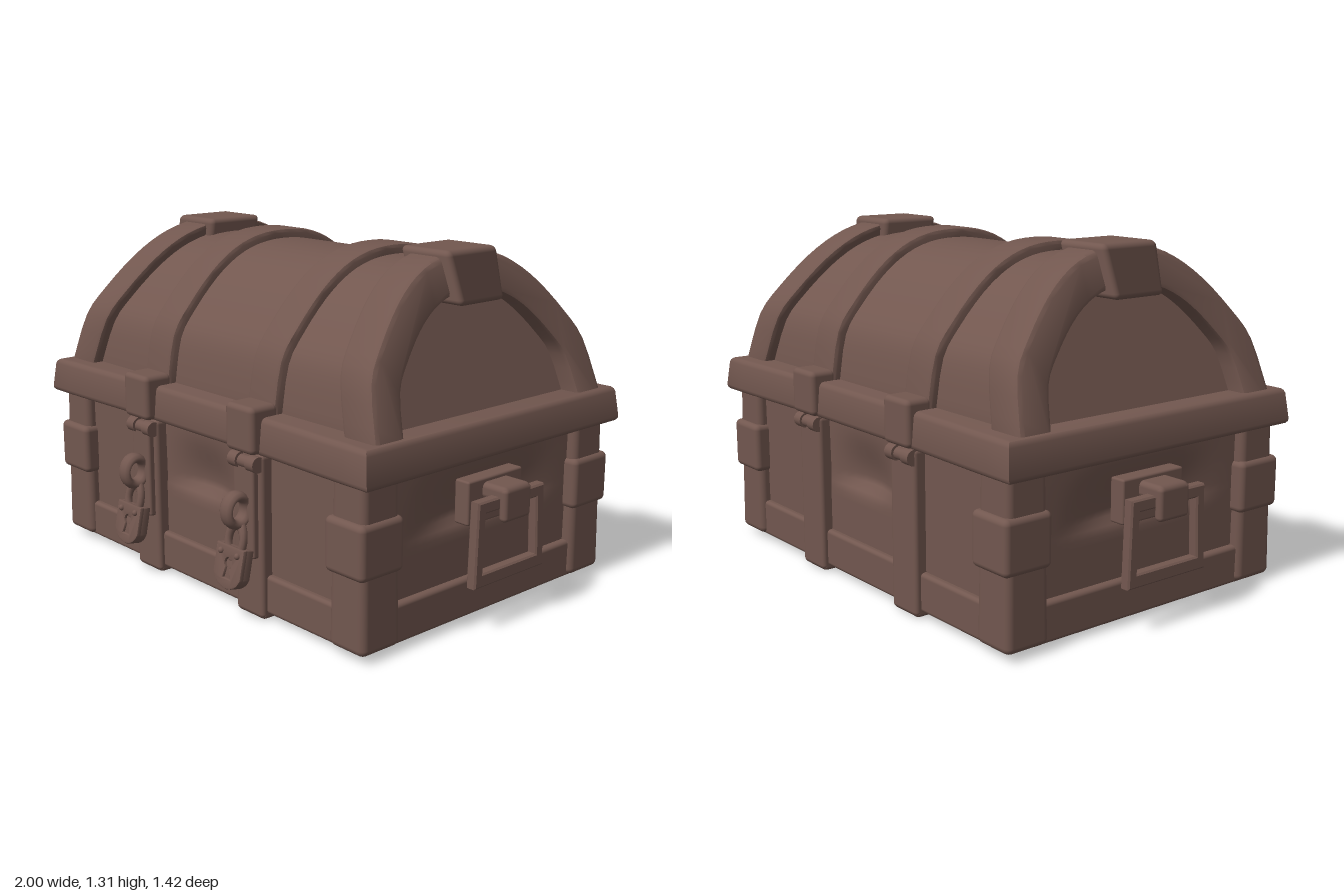
import * as THREE from 'three';
import { toCreasedNormals } from 'three/addons/utils/BufferGeometryUtils.js';
import { RoundedBoxGeometry } from 'three/addons/geometries/RoundedBoxGeometry.js';

const LEAN = 0.31, BASE = 0.74;

export function createModel() {
  const brown = new THREE.MeshStandardMaterial({ color: 0x72574f });
  brown.name = 'dark brown';
  const root = new THREE.Group();
  root.name = 'treasureChest';
  const chest = new THREE.Group();
  chest.name = 'chest';
  chest.position.z = -0.045;
  root.add(chest);

  const add = (parent, name, geo, x = 0, y = 0, z = 0) => {
    const m = new THREE.Mesh(geo, brown);
    m.name = name;
    m.position.set(x, y, z);
    parent.add(m);
    return m;
  };
  const group = (parent, name) => {
    const g = new THREE.Group();
    g.name = name;
    parent.add(g);
    return g;
  };
  // Rounded box given by its lower and upper bounds
  const block = (parent, name, [x0, x1], [y0, y1], [z0, z1], r = 0.015) =>
    add(parent, name, new RoundedBoxGeometry(x1 - x0, y1 - y0, z1 - z0, 2, r),
      (x0 + x1) / 2, (y0 + y1) / 2, (z0 + z1) / 2);
  const reshape = (geo, rule) => {
    const p = geo.attributes.position, v = new THREE.Vector3();
    for (let i = 0; i < p.count; i++) {
      rule(v.fromBufferAttribute(p, i));
      p.setXYZ(i, v.x, v.y, v.z);
    }
    return geo;
  };

  // Lid arch outline, moved inwards by o
  const half = [[0.59, 0.74], [0.555, 0.93], [0.48, 1.04], [0.365, 1.16], [0.25, 1.24], [0.13, 1.283]];
  const profile = [...half, [0, 1.295], ...half.map(([u, y]) => [-u, y]).reverse()];
  const archPoints = o => {
    const pts = profile.map(([u, y]) => new THREE.Vector2(
      u * (0.59 - o) / 0.59, BASE + (y - BASE) * (0.555 - o) / 0.555));
    const curve = new THREE.SplineCurve(pts).getPoints(36);
    return [new THREE.Vector2(pts[0].x, 0.69), ...curve, new THREE.Vector2(-pts[0].x, 0.69)];
  };
  // Extrudes an outline along x, centred on x = 0
  const alongX = (pts, width, bevel) => {
    const geo = new THREE.ExtrudeGeometry(new THREE.Shape(pts), {
      depth: width - 2 * bevel, bevelEnabled: bevel > 0, bevelSize: bevel,
      bevelThickness: bevel, bevelOffset: -bevel, bevelSegments: 2,
    });
    return geo.translate(0, 0, -(width - 2 * bevel) / 2).rotateY(Math.PI / 2);
  };
  const archBand = (outer, inner, width, bevel) =>
    alongX([...archPoints(outer), ...archPoints(inner).reverse()], width, bevel);

  // Box body with the upper plank of each wall pressed in along its middle
  const body = new THREE.BoxGeometry(1.69, 0.58, 1.19, 32, 22, 24).translate(0, 0.335, 0);
  const ss = THREE.MathUtils.smoothstep;
  reshape(body, v => {
    const press = 0.045 * ss(v.y, 0.35, 0.39) * (1 - ss(v.y, 0.4, 0.61));
    if (Math.abs(v.z) > 0.594) v.z -= Math.sign(v.z) * press * (1 - ss(Math.abs(v.x), 0.02, 0.26));
    if (Math.abs(v.x) > 0.844) v.x -= Math.sign(v.x) * press * 0.7 * (1 - ss(Math.abs(v.z), 0.1, 0.42));
  });
  body.computeVertexNormals();
  add(chest, 'body', body);

  // Base rails
  for (const s of [-1, 1]) {
    const front = block(chest, 'baseRail', [-0.84, 0.84], [0.02, 0.165], [-0.04, 0.04]);
    front.position.z = s * 0.578;
    const side = block(chest, 'endBaseRail', [-0.04, 0.04], [0.02, 0.165], [-0.6, 0.6]);
    side.position.x = s * 0.832;
  }

  // Corner posts, flared at the foot, each with a clasp
  for (const sx of [-1, 1]) for (const sz of [-1, 1]) {
    const post = new RoundedBoxGeometry(0.155, 0.6, 0.165, 3, 0.025);
    reshape(post, v => {
      const flare = 1 + 0.1 * (1 - ss(v.y, -0.3, -0.05));
      v.x *= flare;
      v.z *= flare;
    });
    add(chest, 'cornerPost', post, sx * 0.805, 0.325, sz * 0.548);
    add(chest, 'cornerClasp', new RoundedBoxGeometry(0.185, 0.195, 0.2, 3, 0.022), sx * 0.806, 0.39, sz * 0.553);
  }

  // Lid rim, narrower at the top and slightly waisted front and back
  const rim = new THREE.Group();
  rim.name = 'lidRim';
  chest.add(rim);
  const waist = v => 0.018 * (1 - ss(Math.abs(v.x), 0.2, 0.9));
  const taper = v => {
    const k = 1 - 0.02 * (v.y + 0.0675) / 0.135;
    v.x *= k;
    v.z *= k;
  };
  const slab = new THREE.Shape();
  const hw = 0.93, hd = 0.665;
  const edge = [];
  for (let i = 0; i <= 16; i++) {
    const x = -hw + 2 * hw * i / 16;
    edge.push(new THREE.Vector2(x, hd - waist({ x })));
  }
  slab.setFromPoints([...edge, ...edge.map(p => new THREE.Vector2(-p.x, -p.y))]);
  const slabGeo = new THREE.ExtrudeGeometry(slab, {
    depth: 0.095, bevelSize: 0.02, bevelThickness: 0.02, bevelOffset: -0.02, bevelSegments: 3,
  }).rotateX(-Math.PI / 2).translate(0, -0.0475, 0);
  add(rim, 'rim', toCreasedNormals(reshape(slabGeo, taper), 0.6), 0, 0.678, 0);

  // Domed lid with leaning ends
  const dome = alongX(archPoints(0.045), 2, 0);
  reshape(dome, v => { v.x *= 0.815 - (v.y - BASE) * LEAN; });
  add(chest, 'lidDome', toCreasedNormals(dome, 0.5));

  // End parts, repeated at both ends by a half turn
  const lean = v => { v.x -= (v.y - BASE) * LEAN; };
  for (const turn of [0, Math.PI]) {
    const end = group(chest, 'chestEnd');
    end.rotation.y = turn;
    const arch = archBand(0, 0.135, 0.155, 0.018).translate(0.815, 0, 0);
    add(end, 'endArch', toCreasedNormals(reshape(arch, lean), 0.6));

    // Keystone clasp at the crown
    const key = new RoundedBoxGeometry(0.23, 0.185, 0.24, 3, 0.02).translate(0.82, 1.218, 0);
    reshape(key, v => {
      v.z *= 1 + (v.y - 1.22) * 0.75;
      v.y -= 0.25 * v.z * v.z;
      lean(v);
    });
    add(end, 'keystone', key);

    // Drop handle
    const handle = group(end, 'handle');
    block(handle, 'handlePlate', [0.83, 0.895], [0.37, 0.53], [-0.143, 0.143], 0.008);
    block(handle, 'handleClip', [0.87, 1.0], [0.455, 0.515], [-0.07, 0.07], 0.02);
    block(handle, 'clipFront', [0.965, 1.0], [0.39, 0.51], [-0.07, 0.07], 0.015);
    const frame = new THREE.Shape([[-0.175, 0.48], [-0.185, 0.17], [0.185, 0.17], [0.175, 0.48]]
      .map(p => new THREE.Vector2(...p)));
    frame.holes.push(new THREE.Path([[-0.135, 0.435], [0.135, 0.435], [0.143, 0.22], [-0.143, 0.22]]
      .map(p => new THREE.Vector2(...p))));
    const ring = new THREE.ExtrudeGeometry(frame, {
      depth: 0.03, bevelSize: 0.006, bevelThickness: 0.006, bevelOffset: -0.006, bevelSegments: 1,
    }).rotateY(Math.PI / 2).translate(0.936, 0, 0);
    add(handle, 'handleRing', ring);
  }

  // Padlock face with a keyhole
  const lockFace = new THREE.Shape();
  lockFace.moveTo(-0.075, 0.07).lineTo(-0.075, -0.035);
  lockFace.quadraticCurveTo(-0.06, -0.08, 0, -0.085).quadraticCurveTo(0.06, -0.08, 0.075, -0.035);
  lockFace.lineTo(0.075, 0.07).lineTo(-0.075, 0.07);
  const keyhole = new THREE.Path();
  keyhole.moveTo(-0.02, -0.045).lineTo(0.02, -0.045).lineTo(0.009, -0.005);
  keyhole.absarc(0, 0.008, 0.02, -0.9, Math.PI + 0.9, false);
  keyhole.lineTo(-0.02, -0.045);
  const lockBack = lockFace.clone();
  lockFace.holes.push(keyhole);
  const lockGeo = (shape, depth, z) => toCreasedNormals(new THREE.ExtrudeGeometry(shape, {
    depth, bevelSize: 0.006, bevelThickness: 0.006, bevelOffset: -0.006, bevelSegments: 2,
  }).translate(0, 0, z), 0.6);

  // Straps with hinges, hasps and padlocks
  const knuckles = (parent, name, y, z) => {
    for (const i of [-1, 0, 1]) {
      const r = i ? 0.029 : 0.023;
      add(parent, name, new THREE.CylinderGeometry(r, r, 0.044, 16).rotateZ(Math.PI / 2), i * 0.048, y, z);
    }
  };
  for (const x of [-0.31, 0.31]) {
    const strap = group(chest, 'strapSet');
    strap.position.x = x;
    const w = [-0.075, 0.075];
    add(strap, 'lidStrap', toCreasedNormals(archBand(0.008, 0.08, 0.15, 0.015), 0.6));
    block(strap, 'rimStrapFront', w, [0.615, 0.785], [0.56, 0.682], 0.02);
    block(strap, 'rimStrapBack', w, [0.615, 0.785], [-0.667, -0.56], 0.02);
    for (const s of [-1, 1]) {
      block(strap, 'bodyStrap', w, [0.005, 0.61], [-0.035, 0.035], 0.016).position.z = s * 0.605;
    }
    block(strap, 'bottomStrap', w, [0, 0.06], [-0.635, 0.635], 0.015);
    knuckles(strap, 'backHinge', 0.582, -0.637);
    knuckles(strap, 'frontHinge', 0.578, 0.648);
    block(strap, 'hasp', [-0.055, 0.055], [0.23, 0.57], [0.62, 0.663], 0.01);

    // Staple loop standing out of the hasp
    const staple = add(strap, 'staple', new THREE.TorusGeometry(0.043, 0.016, 10, 24), 0, 0.41, 0.695);
    staple.rotation.y = Math.PI / 2;
    staple.scale.set(1, 1.2, 2);

    const lock = group(strap, 'padlock');
    lock.position.set(0, 0.21, 0.715);
    lock.rotation.x = -0.2;
    add(lock, 'lockBody', lockGeo(lockBack, 0.025, -0.02));
    add(lock, 'lockFace', lockGeo(lockFace, 0.01, 0.006));
    const shackle = add(lock, 'shackle', new THREE.TorusGeometry(0.04, 0.015, 10, 24), 0, 0.09, 0);
    shackle.scale.y = 1.5;
    for (const s of [-1, 1]) {
      add(lock, 'rivet', new THREE.SphereGeometry(0.012, 12, 8), s * 0.045, 0.045, 0.022);
    }
  }
  return root;
}
